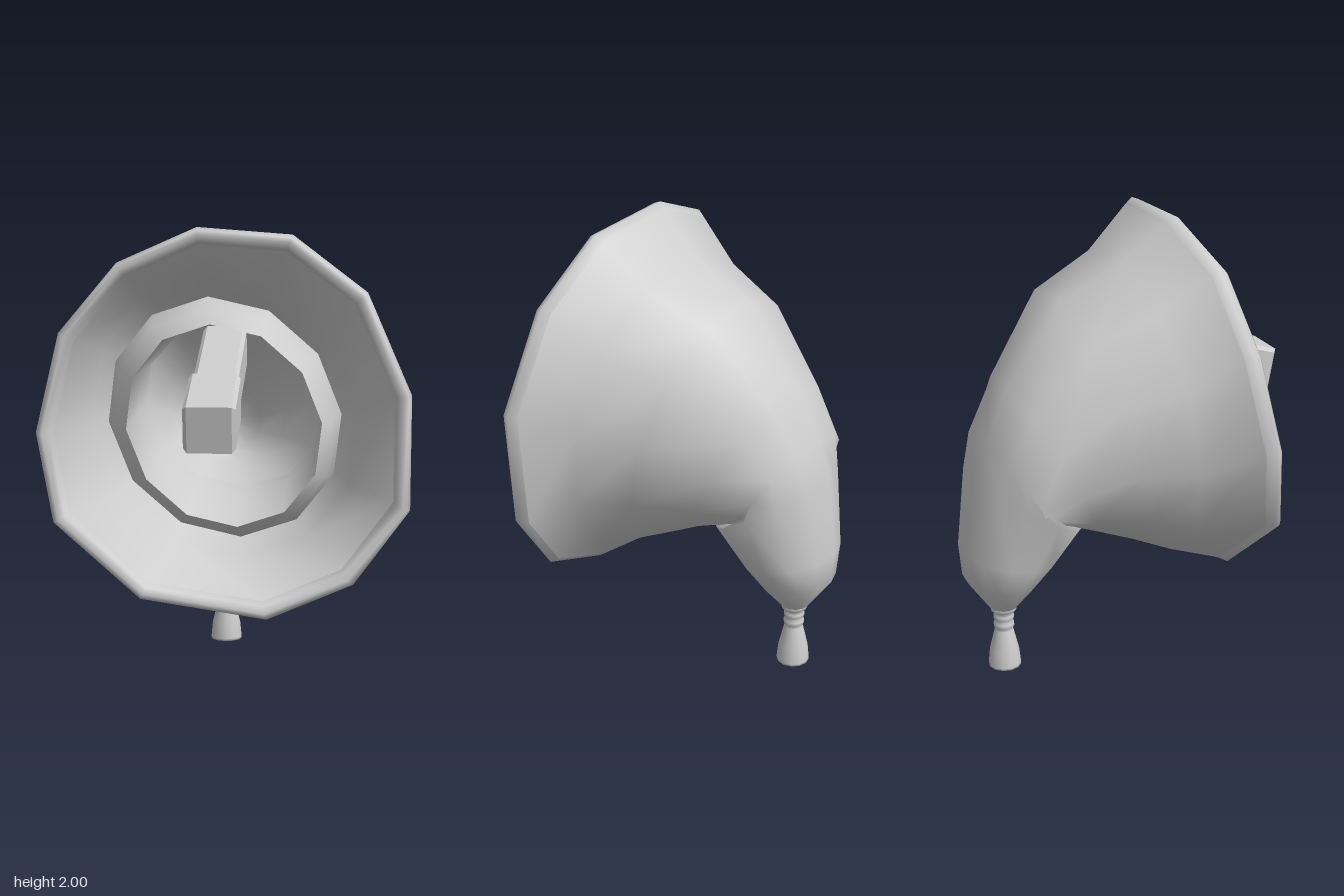
import * as THREE from 'three';

const SIDES = 12;
const angle = (i) => THREE.MathUtils.degToRad(98 - 30 * i);

// Skin a list of rings (each SIDES points, clockwise from the front) with smooth normals
function loft(rings) {
  const pos = [], idx = [];
  rings.forEach((ring) => ring.forEach((p) => pos.push(...p)));
  for (let k = 0; k < rings.length - 1; k++) {
    for (let i = 0; i < SIDES; i++) {
      const a = k * SIDES + i, b = k * SIDES + (i + 1) % SIDES;
      idx.push(a, b, a + SIDES, b, b + SIDES, a + SIDES);
    }
  }
  const g = new THREE.BufferGeometry();
  g.setAttribute('position', new THREE.Float32BufferAttribute(pos, 3));
  g.setIndex(idx);
  g.computeVertexNormals();
  return g;
}

const ringOf = (fn) => Array.from({ length: SIDES }, (_, i) => fn(Math.cos(angle(i)), Math.sin(angle(i))));

// Tilted ring of the cap body, from its upper and lower points in the side plane
const bodyRing = ([zt, yt, zb, yb, xc, hw]) => ringOf((c, s) => [
  xc + hw * c,
  (yt + yb) / 2 + (yt - yb) / 2 * s,
  (zt + zb) / 2 + (zt - zb) / 2 * s,
]);

// Upright, slightly skewed ring used for the collar and lining
const innerRing = (y, z, rx, ry, xc = -0.01) => ringOf((c, s) => [xc + rx * c, y + ry * s - 0.1 * rx * c, z]);

// Wavy opening of the cap
const RIM = [
  [-0.12, 2, 0.23], [0.29, 1.97, 0.25], [0.61, 1.73, 0.285], [0.8, 1.3, 0.325],
  [0.8, 0.8, 0.285], [0.56, 0.48, 0.33], [0.19, 0.325, 0.355], [-0.35, 0.42, 0.41],
  [-0.72, 0.75, 0.42], [-0.8, 1.13, 0.365], [-0.71, 1.55, 0.3], [-0.46, 1.85, 0.275],
];
const rimRing = (scale, dz) => RIM.map(([x, y, z]) => [x * scale, 1.17 + (y - 1.17) * scale, z + dz]);

// Beveled bar from a side profile of [z, y] points, centred on x
function bar(points, width) {
  const bevel = 0.016;
  const g = new THREE.ExtrudeGeometry(new THREE.Shape(points.map(([z, y]) => new THREE.Vector2(z, y))), {
    depth: width - 2 * bevel, bevelSize: bevel, bevelThickness: bevel, bevelOffset: -bevel, bevelSegments: 1,
  });
  return g.translate(0, 0, bevel - width / 2).rotateY(-Math.PI / 2);
}

export function createModel() {
  const model = new THREE.Group();
  model.name = 'droopingCap';
  const grey = new THREE.MeshStandardMaterial({ color: 0xcccccc });
  grey.name = 'plainGrey';
  const add = (name, geometry) => {
    const mesh = new THREE.Mesh(geometry, grey);
    mesh.name = name;
    model.add(mesh);
    return mesh;
  };

  // Cap body: flared mouth bending over into a hanging tip, with a fold underneath
  add('capBody', loft([
    rimRing(0.97, -0.045),
    ...[
      [0.0, 1.82, 0.18, 0.43, 0.01, 0.645],
      [-0.29, 1.69, 0.0, 0.52, 0.0, 0.54],
      [-0.55, 1.35, -0.2, 0.62, -0.04, 0.395],
      [-0.65, 1.12, -0.43, 0.72, -0.06, 0.33],
      [-0.715, 0.96, -0.22, 0.64, -0.055, 0.295],
      [-0.758, 0.6, -0.34, 0.52, -0.055, 0.24],
      [-0.75, 0.46, -0.44, 0.41, -0.06, 0.18],
      [-0.64, 0.3, -0.52, 0.29, -0.06, 0.06],
    ].map(bodyRing),
  ]));

  // Rounded lip around the mouth
  add('lip', loft([
    rimRing(0.91, -0.03), rimRing(0.925, 0.015), rimRing(0.96, 0.035),
    rimRing(0.985, 0.02), rimRing(1, -0.01), rimRing(0.97, -0.045),
  ]));

  // Lining of the whole hollow, from its closed back out to the lip
  add('lining', loft([
    innerRing(1.06, -0.63, 0.001, 0.001, -0.05),
    innerRing(1.07, -0.6, 0.15, 0.15, -0.05),
    innerRing(1.12, -0.49, 0.27, 0.25, -0.04),
    innerRing(1.17, -0.34, 0.38, 0.38, -0.02),
    innerRing(1.17, -0.14, 0.49, 0.51),
    innerRing(1.16, 0.05, 0.59, 0.62),
    rimRing(0.91, -0.03),
  ]));

  // Headband: a rounded closed collar with a thin front edge
  const bandFront = innerRing(1.155, 0.285, 0.425, 0.435, 0);
  const bandBack = innerRing(1.21, -0.02, 0.395, 0.365, 0.015);
  add('headbandInside', loft([bandBack, innerRing(1.2, 0.12, 0.405, 0.385, 0.01), bandFront]));
  add('headbandOutside', loft([
    bandFront,
    innerRing(1.16, 0.21, 0.48, 0.49),
    innerRing(1.17, 0.12, 0.515, 0.526),
    innerRing(1.175, 0.03, 0.495, 0.5),
    bandBack,
  ]));

  // Sloping peg in two sections
  add('pegEnd', bar([[0.762, 1.3], [0.465, 1.403], [0.45, 1.2], [0.727, 1.107]], 0.217)).position.x = -0.02;
  add('pegShaft', bar([[0.47, 1.39], [-0.02, 1.558], [-0.04, 1.375], [0.455, 1.21]], 0.19)).position.x = -0.018;

  // Tassel with knotted neck
  const profile = [
    [0, 0], [0.073, 0], [0.073, 0.01], [0.066, 0.08], [0.042, 0.18], [0.036, 0.186], [0.046, 0.196], [0.046, 0.214],
    [0.036, 0.225], [0.046, 0.236], [0.046, 0.254], [0.037, 0.265], [0.058, 0.28], [0.06, 0.3], [0.04, 0.315], [0, 0.32],
  ].map(([r, y]) => new THREE.Vector2(r, y));
  add('tassel', new THREE.LatheGeometry(profile, SIDES)).position.set(-0.06, 0, -0.575);

  return model;
}
